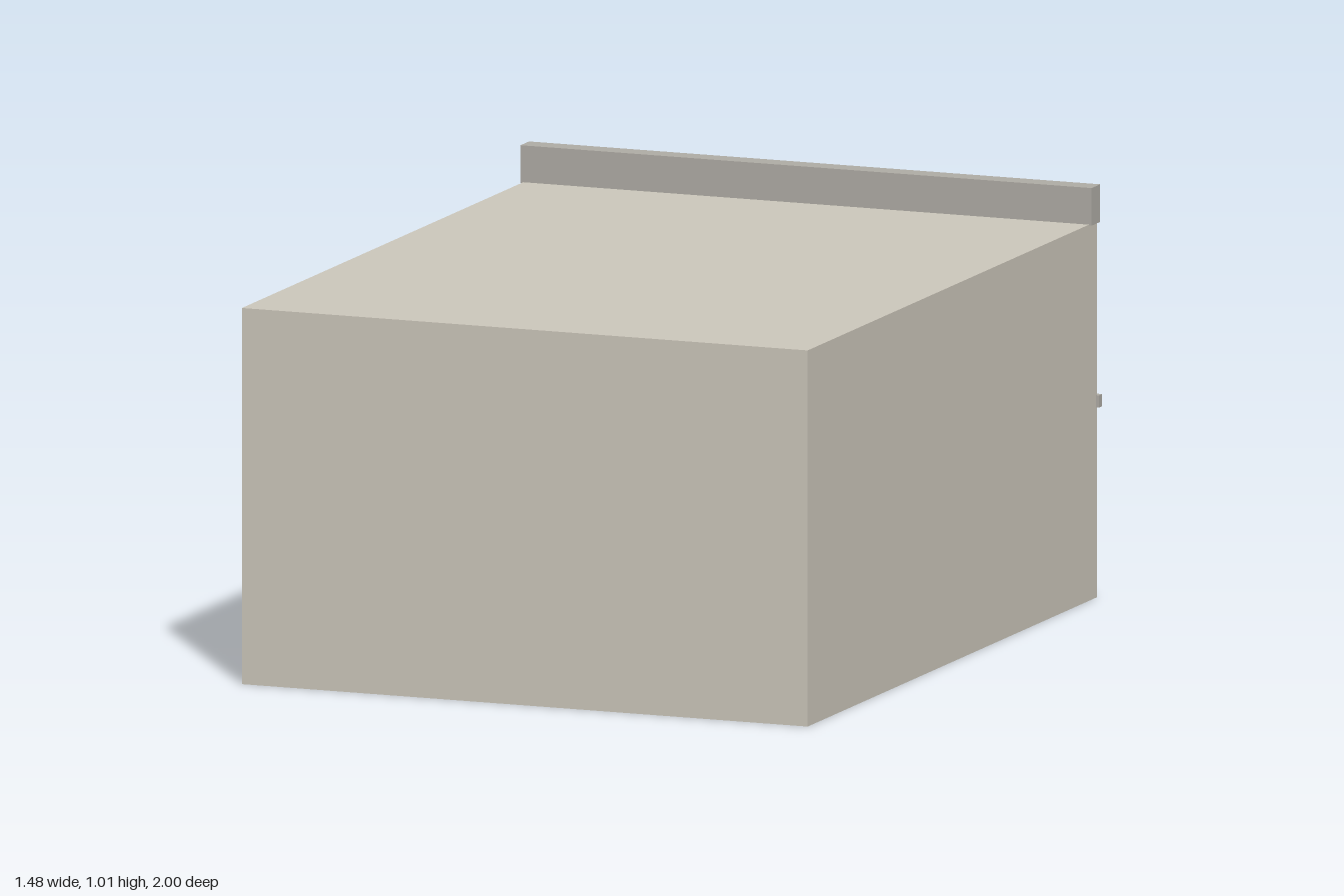
import * as THREE from 'three';

const mat = (color) => new THREE.MeshStandardMaterial({ color });
const WALL = mat(0xcdc8bc), TRIM = mat(0xb0ada6), GLASS = mat(0x7b8f9b), SLAB = mat(0x7c8387),
  BAR = mat(0x4c5052), WOOD = mat(0xb08d50), AWNING = mat(0x92687f), STEEL = mat(0xb4b5b6), PLATE = mat(0xc9c6bd);

// Box given by its extents along each axis
function box(name, material, [x0, x1], [y0, y1], [z0, z1]) {
  const mesh = new THREE.Mesh(new THREE.BoxGeometry(x1 - x0, y1 - y0, z1 - z0), material);
  mesh.position.set((x0 + x1) / 2, (y0 + y1) / 2, (z0 + z1) / 2);
  mesh.name = name;
  return mesh;
}

// Window pane behind a cage of upright bars between two thin slabs
function cagedWindow(x) {
  const g = new THREE.Group();
  g.name = 'cagedWindow';
  const w = 0.115;
  g.add(box('pane', GLASS, [-w + 0.006, w - 0.006], [0.545, 0.74], [-0.842, -0.83]));
  g.add(box('topSlab', SLAB, [-w, w], [0.742, 0.75], [-0.908, -0.835]));
  g.add(box('bottomSlab', SLAB, [-w, w], [0.54, 0.548], [-0.908, -0.835]));
  const bars = 6;
  for (let i = 0; i < bars; i++) {
    const bar = new THREE.Mesh(new THREE.CylinderGeometry(0.003, 0.003, 0.2, 6), BAR);
    bar.position.set(-w + 0.005 + (i * (2 * w - 0.01)) / (bars - 1), 0.645, -0.904);
    bar.name = 'bar';
    g.add(bar);
  }
  g.position.x = x;
  return g;
}

// Roller shutter with overlapping tilted slats
function rollerShutter() {
  const g = new THREE.Group();
  g.name = 'rollerShutter';
  const x = [0.155, 0.67], y0 = 0.04, y1 = 0.385, slats = 12, step = (y1 - y0) / slats;
  g.add(box('backing', SLAB, x, [y0, y1], [-0.839, -0.83]));
  for (let i = 0; i < slats; i++) {
    const slat = box('slat', STEEL, x, [y0 + i * step + 0.001, y0 + (i + 1) * step - 0.002], [-0.844, -0.839]);
    slat.rotation.x = 0.12;
    g.add(slat);
  }
  return g;
}

export function createModel() {
  const model = new THREE.Group();
  model.name = 'shopBuilding';

  // Building shell, parapet and ledge
  model.add(box('building', WALL, [-0.735, 0.735], [0, 0.92], [-0.835, 1]));
  model.add(box('parapet', TRIM, [-0.742, 0.742], [0.918, 1.01], [-0.838, -0.784]));
  model.add(box('ledge', TRIM, [-0.742, 0.742], [0.465, 0.495], [-0.85, -0.83]));

  // Upper floor
  for (const x of [-0.49, -0.002, 0.487]) model.add(cagedWindow(x));
  for (const x of [-0.5, 0.45]) model.add(box('wallUnit', TRIM, [x - 0.078, x + 0.078], [0.45, 0.525], [-0.896, -0.835]));

  // Sign board with four blank plates
  model.add(box('signBoard', WOOD, [-0.63, 0.625], [0.392, 0.47], [-0.9, -0.879]));
  for (const x of [-0.364, -0.126, 0.11, 0.347])
    model.add(box('signPlate', PLATE, [x - 0.031, x + 0.031], [0.405, 0.455], [-0.903, -0.898]));

  // Ground floor
  model.add(rollerShutter());
  model.add(box('shopWindow', GLASS, [-0.64, 0.108], [0.04, 0.38], [-0.845, -0.83]));

  // Awning tilting up away from the wall
  model.add(box('awningRail', AWNING, [-0.645, 0.11], [0.385, 0.415], [-0.845, -0.832]));
  const awning = new THREE.Mesh(new THREE.BoxGeometry(0.755, 0.006, 0.166), AWNING);
  awning.position.set(-0.268, 0.394, -0.918);
  awning.rotation.x = 0.165;
  awning.name = 'awning';
  model.add(awning);

  return model;
}
